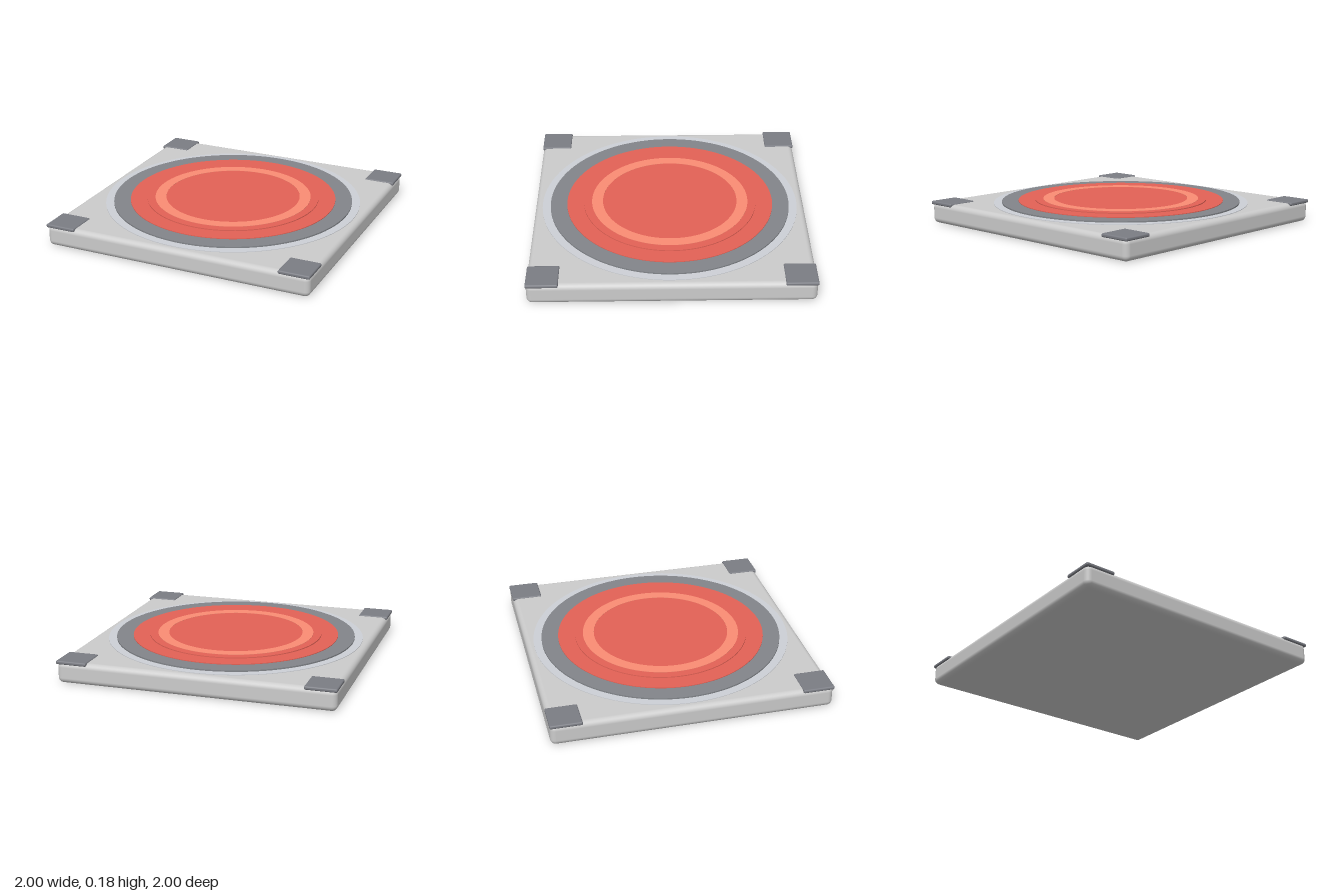
import * as THREE from 'three';
import { RoundedBoxGeometry } from 'three/addons/geometries/RoundedBoxGeometry.js';

const material = (color) => new THREE.MeshStandardMaterial({ color });

export function createModel() {
  const model = new THREE.Group();
  const add = (name, geometry, mat, x, y, z) => {
    const mesh = new THREE.Mesh(geometry, mat);
    mesh.name = name;
    mesh.position.set(x, y, z);
    model.add(mesh);
  };

  // Square base slab with rounded edges
  add('baseSlab', new RoundedBoxGeometry(1.994, 0.156, 1.994, 4, 0.04), material(0xcccccc), 0, 0.078, 0);

  // Four corner plates wrapping slightly over the slab
  const plateMaterial = material(0x7b7d84);
  const plate = new RoundedBoxGeometry(0.225, 0.026, 0.225, 3, 0.01);
  for (const x of [-1, 1]) {
    for (const z of [-1, 1]) add('cornerPlate', plate, plateMaterial, x * 0.8875, 0.151, z * 0.8875);
  }

  // Concentric stepped discs: name, radius, top height, colour
  const discs = [
    ['outerTrim', 0.945, 0.16, 0xcdd0d6],
    ['darkRing', 0.885, 0.17, 0x82858a],
    ['lowerPad', 0.762, 0.175, 0xe36155],
    ['upperPad', 0.638, 0.182, 0xe36155],
  ];
  for (const [name, radius, top, color] of discs) {
    const height = top - 0.145;
    add(name, new THREE.CylinderGeometry(radius, radius, height, 96), material(color), 0, top - height / 2, 0);
  }

  // Bright inlay ring on the pad
  const ring = new THREE.Shape().absarc(0, 0, 0.578, 0, Math.PI * 2);
  ring.holes.push(new THREE.Path().absarc(0, 0, 0.497, 0, Math.PI * 2, true));
  const inlay = new THREE.ExtrudeGeometry(ring, { depth: 0.006, bevelEnabled: false, curveSegments: 96 });
  inlay.rotateX(-Math.PI / 2);
  add('inlayRing', inlay, material(0xfb8c74), 0, 0.178, 0);

  return model;
}
